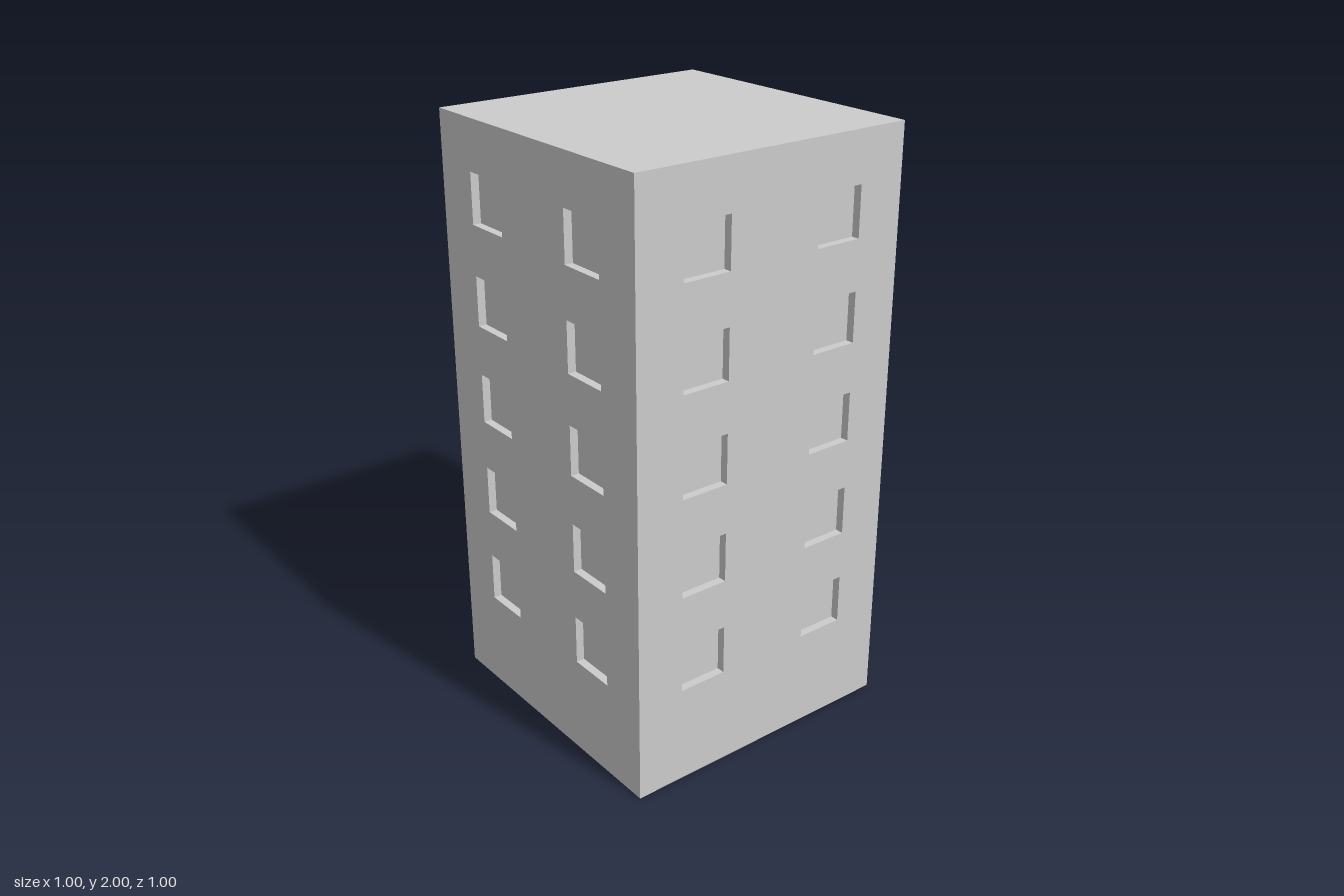
import * as THREE from 'three';
import { mergeGeometries } from 'three/addons/utils/BufferGeometryUtils.js';

const HEIGHT = 2, HALF = 0.5;      // tower size
const WIN = 1 / 6, DEPTH = 0.028;  // square window side and recess depth
const FLOORS = 5, COLUMNS = [-0.25, 0.25];

// Centres of all windows on one facade
const windowCentres = [];
for (let floor = 0; floor < FLOORS; floor++) {
  for (const x of COLUMNS) windowCentres.push([x, 5 / 12 + floor / 3]);
}

// Flat outer wall with square openings
function wallGeometry() {
  const wall = new THREE.Shape([
    new THREE.Vector2(-HALF, 0), new THREE.Vector2(HALF, 0),
    new THREE.Vector2(HALF, HEIGHT), new THREE.Vector2(-HALF, HEIGHT),
  ]);
  const h = WIN / 2;
  for (const [x, y] of windowCentres) {
    wall.holes.push(new THREE.Path([
      new THREE.Vector2(x - h, y - h), new THREE.Vector2(x - h, y + h),
      new THREE.Vector2(x + h, y + h), new THREE.Vector2(x + h, y - h),
    ]));
  }
  return new THREE.ShapeGeometry(wall).translate(0, 0, HALF);
}

// Recessed pane with its sill, lintel and two jambs
function windowGeometry() {
  const parts = [new THREE.PlaneGeometry(WIN, WIN).translate(0, 0, HALF - DEPTH)];
  for (let i = 0; i < 4; i++) {
    parts.push(new THREE.PlaneGeometry(WIN, DEPTH)
      .rotateX(-Math.PI / 2)
      .translate(0, -WIN / 2, HALF - DEPTH / 2)
      .rotateZ(i * Math.PI / 2));
  }
  return mergeGeometries(parts);
}

export function createModel() {
  const model = new THREE.Group();
  model.name = 'towerBlock';
  const material = new THREE.MeshStandardMaterial({ color: 0xcccccc, flatShading: true });

  const add = (parent, name, geometry) => {
    const mesh = new THREE.Mesh(geometry, material);
    mesh.name = name;
    parent.add(mesh);
    return mesh;
  };

  // Four identical facades
  const wall = wallGeometry();
  const recess = windowGeometry();
  ['front', 'left', 'back', 'right'].forEach((side, i) => {
    const facade = new THREE.Group();
    facade.name = side + 'Facade';
    facade.rotation.y = i * Math.PI / 2;
    add(facade, side + 'Wall', wall);
    for (const [x, y] of windowCentres) {
      add(facade, side + 'Window', recess).position.set(x, y, 0);
    }
    model.add(facade);
  });

  // Flat roof and underside
  const slab = () => new THREE.PlaneGeometry(2 * HALF, 2 * HALF);
  add(model, 'roof', slab().rotateX(-Math.PI / 2).translate(0, HEIGHT, 0));
  add(model, 'base', slab().rotateX(Math.PI / 2));

  return model;
}
